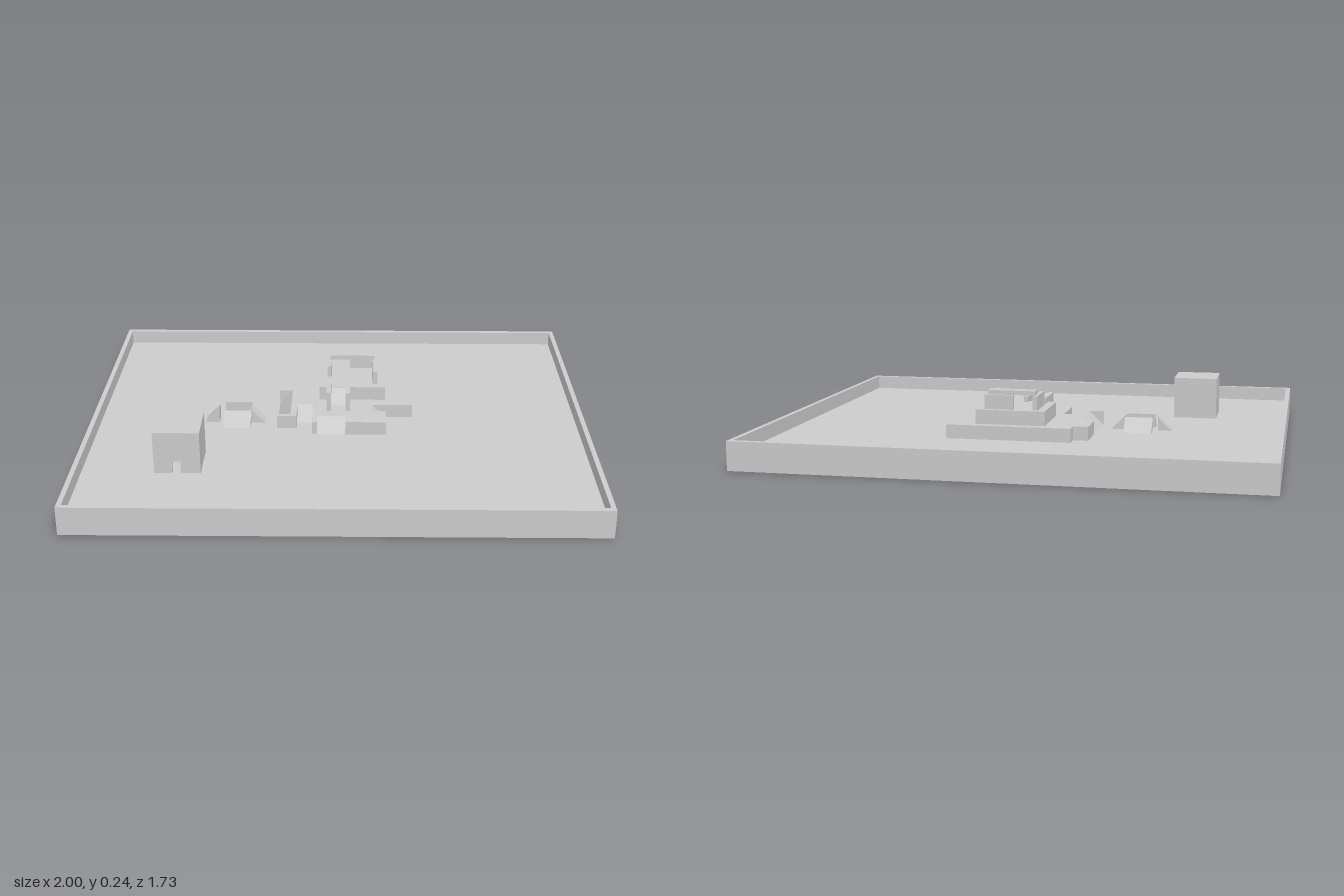
import * as THREE from 'three';

const FLOOR = 0.055, STEP = 0.055;

export function createModel() {
  const model = new THREE.Group();
  model.name = 'fortModel';
  const stone = new THREE.MeshStandardMaterial({ color: 0xcccccc });
  stone.name = 'grey stone';

  const add = (name, geometry) => {
    const mesh = new THREE.Mesh(geometry, stone);
    mesh.name = name;
    model.add(mesh);
    return mesh;
  };

  // Box given by its limits on each axis
  const block = (name, x0, x1, y0, y1, z0, z1) =>
    add(name, new THREE.BoxGeometry(x1 - x0, y1 - y0, z1 - z0)
      .translate((x0 + x1) / 2, (y0 + y1) / 2, (z0 + z1) / 2));

  // Plan outline in (x, z), raised from y0 to y1
  const slab = (name, points, y0, y1, hole) => {
    const flip = (list) => list.map(([x, z]) => new THREE.Vector2(x, -z));
    const shape = new THREE.Shape(flip(points));
    if (hole) shape.holes.push(new THREE.Path(flip(hole)));
    const geo = new THREE.ExtrudeGeometry(shape, { depth: y1 - y0, bevelEnabled: false });
    return add(name, geo.rotateX(-Math.PI / 2).translate(0, y0, 0));
  };

  // Wedge with its tall side at the origin, running down along the heading
  // (0 = +z, 1 = +x, 2 = -z, 3 = -x), centred across its width
  const ramp = (name, x, z, heading, width, run, y0 = FLOOR, rise = STEP) => {
    const side = new THREE.Shape([
      new THREE.Vector2(0, 0), new THREE.Vector2(run, 0), new THREE.Vector2(0, rise),
    ]);
    const geo = new THREE.ExtrudeGeometry(side, { depth: width, bevelEnabled: false });
    geo.translate(0, 0, -width / 2).rotateY((heading - 1) * Math.PI / 2).translate(x, y0, z);
    return add(name, geo);
  };

  const rect = (x, z) => [[-x, z], [x, z], [x, -z], [-x, -z]];

  // Tray
  block('trayFloor', -0.99, 0.99, 0, FLOOR, -0.85, 0.85);
  slab('trayRim', rect(1, 0.864), 0, 0.112, rect(0.981, 0.843));

  // Lower platform, notched where its ramps sit
  slab('lowerPlatform', [
    [-0.19, -0.36], [0.307, -0.36], [0.307, -0.028], [0.14, -0.028], [0.14, 0.03],
    [0.195, 0.03], [0.195, 0.14], [0.03, 0.14], [0.03, 0.085], [-0.085, 0.085],
    [-0.085, 0.14], [-0.105, 0.14], [-0.105, -0.028], [-0.17, -0.028], [-0.17, 0.083],
    [-0.25, 0.083], [-0.25, 0.065], [-0.195, 0.065], [-0.195, -0.17], [-0.25, -0.17],
    [-0.25, -0.305], [-0.19, -0.305],
  ], FLOOR, 0.11);
  ramp('frontRamp', -0.0275, 0.085, 0, 0.115, 0.055);
  ramp('courtRamp', -0.1375, -0.028, 0, 0.065, 0.058);
  ramp('leftRamp', 0.14, 0.001, 1, 0.058, 0.055);
  ramp('rightLongRamp', -0.195, -0.0525, 3, 0.235, 0.055);

  // Upper platform with its ramp and side walls
  block('upperPlatform', -0.08, 0.195, 0.11, 0.167, -0.325, -0.08);
  ramp('upperRamp', 0, -0.08, 0, 0.06, 0.052, 0.11);
  block('rampWallRight', -0.048, -0.03, 0.11, 0.19, -0.14, 0.033);
  block('rampWallLeft', 0.03, 0.048, 0.11, 0.19, -0.11, 0.033);

  // Walls and roof beam on the upper platform
  block('upperWallRight', -0.048, -0.03, 0.167, 0.224, -0.305, -0.165);
  block('upperWallLeft', 0.142, 0.163, 0.167, 0.224, -0.305, -0.115);
  block('upperWallBack', 0.048, 0.142, 0.167, 0.224, -0.305, -0.287);
  block('roofBeam', -0.037, 0.152, 0.224, 0.241, -0.292, -0.245);

  // Ring of four free-standing ramps
  ramp('ringRampFront', -0.415, 0.035, 0, 0.112, 0.05);
  ramp('ringRampBack', -0.415, -0.05, 2, 0.112, 0.052);
  ramp('ringRampLeft', -0.358, 0.001, 1, 0.058, 0.056);
  ramp('ringRampRight', -0.49, 0.001, 3, 0.058, 0.056);

  // Hollow cube hut with a doorway in its front
  slab('hutWalls', [
    [-0.7, 0.468], [-0.7, 0.297], [-0.521, 0.297], [-0.521, 0.468],
    [-0.539, 0.468], [-0.539, 0.315], [-0.682, 0.315], [-0.682, 0.468],
  ], FLOOR, 0.206);
  block('hutRoof', -0.7, -0.521, 0.206, 0.225, 0.297, 0.468);
  const front = new THREE.Shape([
    [-0.7, FLOOR], [-0.63, FLOOR], [-0.63, 0.105], [-0.597, 0.105], [-0.597, FLOOR],
    [-0.521, FLOOR], [-0.521, 0.225], [-0.7, 0.225],
  ].map(([x, y]) => new THREE.Vector2(x, y)));
  add('hutFront', new THREE.ExtrudeGeometry(front, { depth: 0.018, bevelEnabled: false })
    .translate(0, 0, 0.468));

  return model;
}
